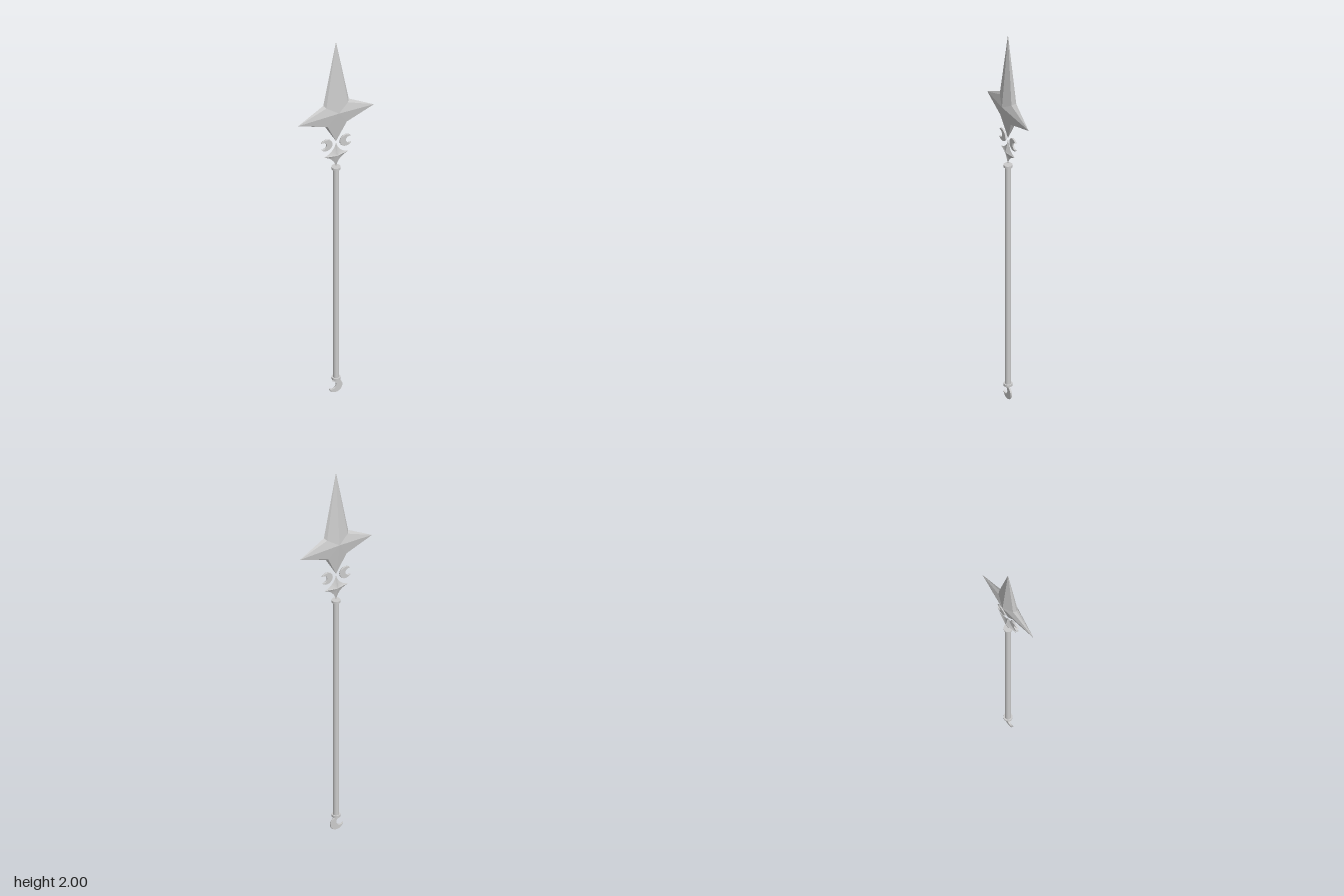
import * as THREE from 'three';

const material = new THREE.MeshStandardMaterial({ color: 0xcccccc, flatShading: true });
const smooth = new THREE.MeshStandardMaterial({ color: 0xcccccc });

// Mirrors triangles of one quarter (x >= 0, z >= 0) across x and z
function mirroredQuarter(triangles) {
  const positions = [];
  for (const sx of [1, -1]) for (const sz of [1, -1]) {
    for (const [a, b, c] of triangles) {
      const order = sx * sz > 0 ? [a, b, c] : [a, c, b];
      for (const [x, y, z] of order) positions.push(x * sx, y, z * sz);
    }
  }
  const geometry = new THREE.BufferGeometry();
  geometry.setAttribute('position', new THREE.Float32BufferAttribute(positions, 3));
  geometry.computeVertexNormals();
  return geometry;
}

// Four-pointed blade with a central ridge and bevelled notches
function bladeGeometry() {
  const top = [0, 2, 0], ridge = [0, 1.61, 0.032], bottom = [0, 1.432, 0], tip = [0.197, 1.58, 0];
  const upperOuter = [0.066, 1.655, 0], upperInner = [0.056, 1.645, 0.013];
  const lowerOuter = [0.056, 1.53, 0], lowerInner = [0.05, 1.537, 0.013];
  return mirroredQuarter([
    [top, ridge, upperInner], [top, upperInner, upperOuter],
    [upperOuter, upperInner, tip], [upperInner, ridge, tip],
    [ridge, lowerInner, tip], [lowerInner, lowerOuter, tip],
    [ridge, bottom, lowerInner], [lowerInner, bottom, lowerOuter],
  ]);
}

// Small star with concave curved sides, fanned from a raised centre
function starGeometry() {
  const y = 1.356, centre = [0, y, 0.014], triangles = [];
  for (const [from, control, to] of [
    [[0, 1.424], [0.012, y + 0.014], [0.065, y]],
    [[0.065, y], [0.012, y - 0.014], [0, 1.288]],
  ]) {
    const points = new THREE.QuadraticBezierCurve(
      new THREE.Vector2(...from), new THREE.Vector2(...control), new THREE.Vector2(...to)).getPoints(6);
    for (let i = 0; i < 6; i++) {
      const p = points[i], q = points[i + 1];
      triangles.push([centre, [q.x, q.y, 0], [p.x, p.y, 0]]);
    }
  }
  return mirroredQuarter(triangles);
}

// Thin crescent opening towards +x
function crescentGeometry(radius) {
  const gap = 0.65, start = 0.85, shape = new THREE.Shape();
  const hornX = radius * Math.cos(gap), hornY = radius * Math.sin(gap);
  const inner = radius * 0.64, centre = hornX - Math.sqrt(inner * inner - hornY * hornY);
  const innerAngle = Math.atan2(hornY, hornX - centre);
  shape.absarc(0, 0, radius, start, Math.PI * 2 - start, false);
  shape.absarc(centre, 0, inner, -innerAngle, innerAngle, true);
  shape.closePath();
  const geometry = new THREE.ExtrudeGeometry(shape, {
    depth: 0.004, bevelEnabled: true, bevelSize: 0.001, bevelThickness: 0.002,
    bevelSegments: 1, curveSegments: 18,
  });
  return geometry.translate(0, 0, -0.002);
}

export function createModel() {
  const group = new THREE.Group();
  const add = (name, geometry, mat = material) => {
    const mesh = new THREE.Mesh(geometry, mat);
    mesh.name = name;
    group.add(mesh);
    return mesh;
  };

  add('blade', bladeGeometry());
  add('star', starGeometry());

  // Pair of crescents opening outwards
  for (const side of [1, -1]) {
    const crescent = add(side > 0 ? 'leftCrescent' : 'rightCrescent', crescentGeometry(0.031));
    crescent.position.set(side * 0.051, 1.424, 0);
    crescent.rotation.z = side > 0 ? 0 : Math.PI;
  }

  // Shaft and end collars
  add('shaft', new THREE.CylinderGeometry(0.0145, 0.0145, 1.2, 16), smooth).position.y = 0.68;
  for (const [name, y] of [['topCollar', 1.281], ['bottomCollar', 0.08]]) {
    add(name, new THREE.CylinderGeometry(0.021, 0.021, 0.012, 16), smooth).position.y = y;
  }

  // Pommel crescent, opening up and to one side
  const pommel = add('pommelCrescent', crescentGeometry(0.034));
  pommel.position.set(-0.003, 0.035, 0);
  pommel.rotation.z = Math.PI * 0.87;
  return group;
}
